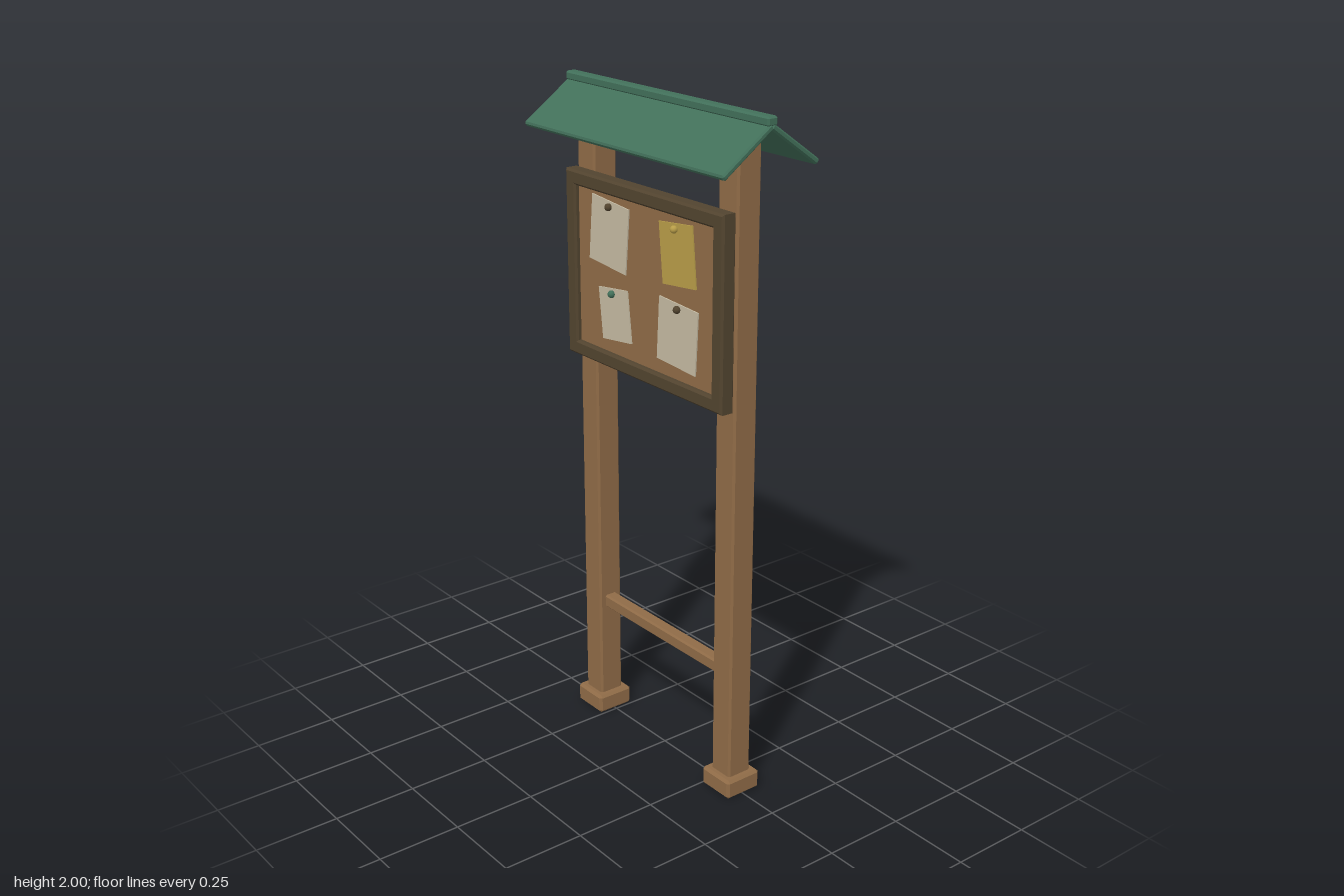
import * as THREE from 'three';
import { ConvexGeometry } from 'three/addons/geometries/ConvexGeometry.js';

const mat = (name, color) => {
  const m = new THREE.MeshStandardMaterial({ color });
  m.name = name;
  return m;
};

// Box with flat chamfered edges
function chamferBox(w, h, d, c) {
  const pts = [], [x, y, z] = [w / 2, h / 2, d / 2];
  for (const i of [-1, 1]) for (const j of [-1, 1]) for (const k of [-1, 1]) {
    pts.push(
      new THREE.Vector3(i * x, j * (y - c), k * (z - c)),
      new THREE.Vector3(i * (x - c), j * y, k * (z - c)),
      new THREE.Vector3(i * (x - c), j * (y - c), k * z));
  }
  return new ConvexGeometry(pts);
}

function rectangle(Type, halfW, bottom, top) {
  return new Type([
    new THREE.Vector2(-halfW, bottom), new THREE.Vector2(halfW, bottom),
    new THREE.Vector2(halfW, top), new THREE.Vector2(-halfW, top)]);
}

export function createModel() {
  const wood = mat('wood', 0x8f6b47);
  const darkWood = mat('dark wood', 0x52442f);
  const green = mat('roof green', 0x42705a);
  const cream = mat('cream paper', 0xc4baa2);
  const yellow = mat('yellow paper', 0xb89d48);

  const model = new THREE.Group();
  const add = (name, geometry, material, x, y, z) => {
    const mesh = new THREE.Mesh(geometry, material);
    mesh.name = name;
    mesh.position.set(x, y, z);
    model.add(mesh);
    return mesh;
  };

  // Posts and feet
  for (const [side, s] of [['left', 1], ['right', -1]]) {
    add(side + 'Post', chamferBox(0.08, 1.93, 0.08, 0.006), wood, s * 0.313, 0.985, 0);
    add(side + 'Foot', chamferBox(0.12, 0.06, 0.12, 0.008), wood, s * 0.313, 0.03, 0);
  }
  add('crossRail', chamferBox(0.56, 0.04, 0.04, 0.005), wood, 0, 0.38, 0);

  // Notice board and its bevelled frame
  const bevel = 0.006;
  const outline = rectangle(THREE.Shape, 0.35 - bevel, 1.197 + bevel, 1.745 - bevel);
  outline.holes.push(rectangle(THREE.Path, 0.305 + bevel, 1.24 - bevel, 1.702 + bevel));
  const frame = new THREE.ExtrudeGeometry(outline, {
    depth: 0.046 - 2 * bevel, bevelThickness: bevel, bevelSize: bevel, bevelSegments: 1 });
  add('boardFrame', frame, darkWood, 0, 0, 0.04 + bevel);
  add('board', new THREE.BoxGeometry(0.62, 0.475, 0.022), wood, 0, 1.471, 0.06);

  // Notices: x, y, width, height, tilt, paper, then the pin's x, y and colour
  const notices = [
    [-0.159, 1.588, 0.17, 0.19, -0.09, cream, -0.153, 1.667, darkWood],
    [0.148, 1.594, 0.143, 0.172, 0.1, yellow, 0.14, 1.664, yellow],
    [-0.134, 1.358, 0.135, 0.152, 0.12, cream, -0.143, 1.418, green],
    [0.148, 1.368, 0.168, 0.182, -0.06, cream, 0.153, 1.444, darkWood],
  ];
  for (const [x, y, w, h, tilt, paper, px, py, pin] of notices) {
    add('notice', new THREE.BoxGeometry(w, h, 0.004), paper, x, y, 0.073).rotation.z = tilt;
    add('pin', new THREE.SphereGeometry(0.011, 12, 8), pin, px, py, 0.08);
  }

  // Pitched roof
  for (const [side, s] of [['front', 1], ['back', -1]]) {
    const slope = add(side + 'Roof', chamferBox(0.874, 0.018, 0.196, 0.005), green,
      0, 1.919, s * 0.079);
    slope.rotation.x = s * 0.612;
  }
  add('ridgeCap', chamferBox(0.874, 0.026, 0.034, 0.005), green, 0, 1.987, 0);

  return model;
}
